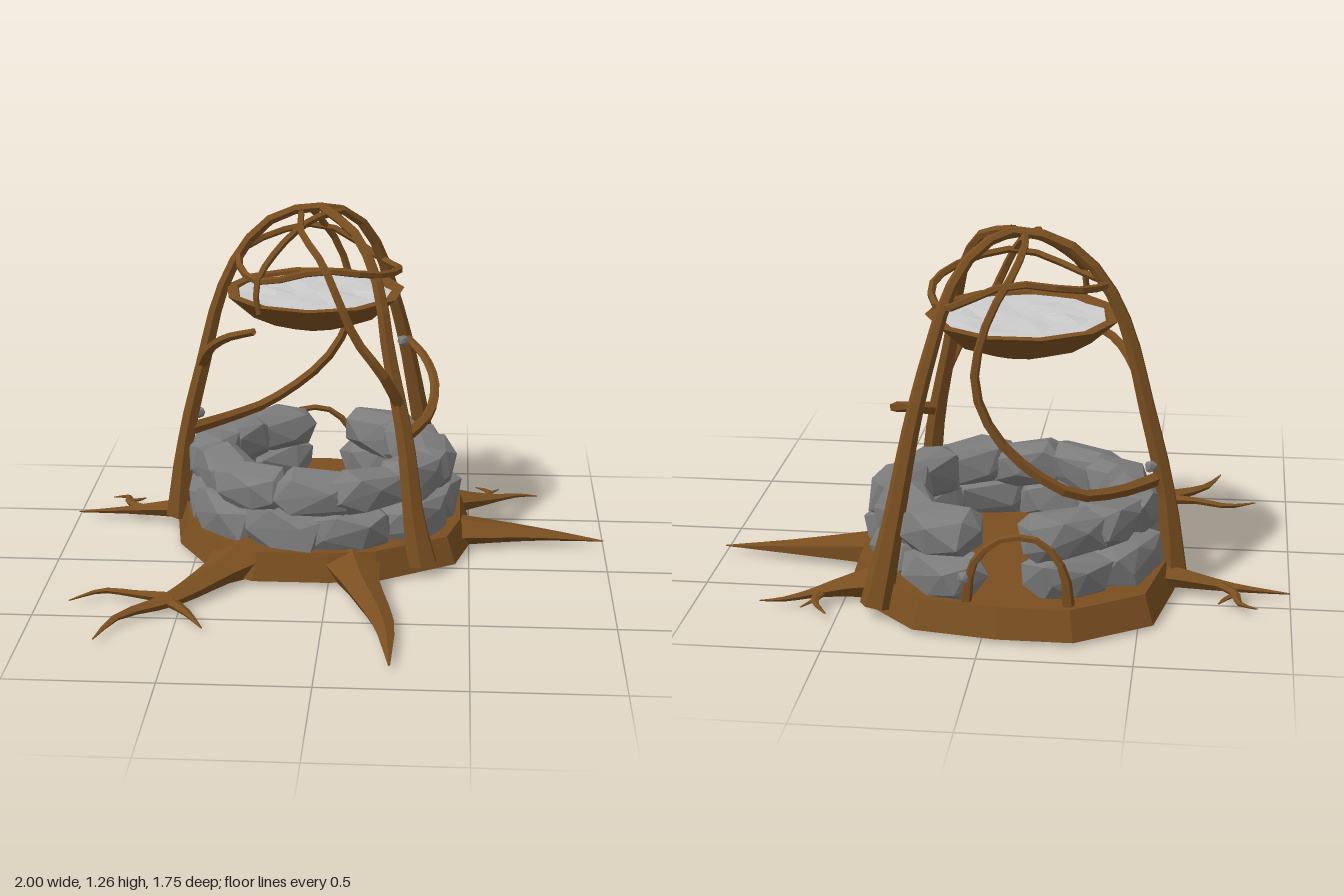
import * as THREE from 'three';
import { ConvexGeometry } from 'three/addons/geometries/ConvexGeometry.js';

const mat = (color) => new THREE.MeshStandardMaterial({ color, flatShading: true, side: THREE.DoubleSide });
const wood = mat(0x7a4f20), stone = mat(0x7c7c7c), water = mat(0xcccccc);
const CX = -0.055, CZ = -0.335;

let seed = 7;
const rand = () => (seed = (seed * 16807) % 2147483647) / 2147483647;

function add(parent, name, geometry, material) {
  const mesh = new THREE.Mesh(geometry, material);
  mesh.name = name;
  parent.add(mesh);
  return mesh;
}

// Tapered branch through points [x, y, z, radius]; squash flattens it in y
function limb(parent, name, pts, { sides = 6, seg = pts.length * 2, squash = 1, closed = false } = {}) {
  const curve = new THREE.CatmullRomCurve3(pts.map((p) => new THREE.Vector3(p[0], p[1], p[2])), closed);
  const n = closed ? pts.length : pts.length - 1;
  const g = new THREE.TubeGeometry(curve, seg, 1, sides, closed);
  const pos = g.attributes.position, v = new THREE.Vector3();
  for (let i = 0; i <= seg; i++) {
    const u = i / seg, c = curve.getPointAt(u);
    const t = curve.getUtoTmapping(u) * n, k = Math.min(Math.floor(t), n - 1);
    const r = THREE.MathUtils.lerp(pts[k][3], pts[(k + 1) % pts.length][3], t - k);
    for (let j = 0; j <= sides; j++) {
      const id = i * (sides + 1) + j;
      v.fromBufferAttribute(pos, id).sub(c).multiplyScalar(r);
      v.y *= squash;
      v.add(c);
      pos.setXYZ(id, v.x, Math.max(v.y, 0.003), v.z);
    }
  }
  g.computeVertexNormals();
  return add(parent, name, g, wood);
}

// Rough boulder: hull of jittered points on a boxy ellipsoid
function boulder(parent, name, x, y, z, a, sx, sy, sz) {
  const pts = [];
  for (let i = 0; i < 20; i++) {
    const h = 1 - (2 * (i + 0.5)) / 20, q = i * 2.4 + rand() * 0.5, w = Math.sqrt(1 - h * h);
    const d = [Math.cos(q) * w, h, Math.sin(q) * w].map((c) => Math.sign(c) * Math.abs(c) ** 0.65);
    const s = 0.85 + rand() * 0.17;
    pts.push(new THREE.Vector3(d[0] * sx * s, d[1] * sy * s, d[2] * sz * s));
  }
  const m = add(parent, name, new ConvexGeometry(pts), stone);
  m.position.set(x, y, z);
  m.rotation.set(0, a, (rand() - 0.5) * 0.25);
}

export function createModel() {
  const model = new THREE.Group();

  // Trunk slab, narrower at the top
  const outline = [[-0.3, -0.875], [-0.05, -0.875], [0.23, -0.83], [0.42, -0.64], [0.5, -0.48], [0.5, -0.2], [0.45, -0.01],
    [0.18, 0.16], [0, 0.19], [-0.27, 0.19], [-0.42, 0.1], [-0.57, -0.15], [-0.61, -0.4], [-0.55, -0.71]];
  const slab = new THREE.ExtrudeGeometry(new THREE.Shape(outline.map(([x, z]) => new THREE.Vector2(x, -z))),
    { depth: 0.1, bevelEnabled: false });
  slab.rotateX(-Math.PI / 2).translate(0, 0.015, 0);
  const p = slab.attributes.position;
  for (let i = 0; i < p.count; i++) {
    if (p.getY(i) < 0.05) continue;
    p.setX(i, CX + (p.getX(i) - CX) * 0.94);
    p.setZ(i, CZ + (p.getZ(i) - CZ) * 0.94);
  }
  slab.computeVertexNormals();
  add(model, 'trunkBase', slab, wood);

  // Roots spreading over the ground
  const roots = new THREE.Group();
  roots.name = 'roots';
  model.add(roots);
  const root = (...pts) => limb(roots, 'root', pts, { sides: 5, squash: 0.6 });
  root([0.36, 0.06, -0.25, 0.11], [0.5, 0.055, -0.25, 0.085], [0.75, 0.045, -0.25, 0.04], [1, 0.03, -0.23, 0.003]);
  root([0.07, 0.06, 0.08, 0.12], [0.12, 0.05, 0.28, 0.07], [0.21, 0.035, 0.58, 0.04], [0.24, 0.025, 0.87, 0.004]);
  root([-0.3, 0.06, 0.05, 0.13], [-0.39, 0.05, 0.2, 0.07], [-0.53, 0.035, 0.41, 0.04], [-0.69, 0.03, 0.55, 0.018], [-0.75, 0.02, 0.72, 0.003]);
  root([-0.52, 0.035, 0.4, 0.035], [-0.66, 0.04, 0.38, 0.02], [-0.78, 0.035, 0.35, 0.015], [-0.885, 0.025, 0.42, 0.003]);
  root([-0.55, 0.035, 0.41, 0.03], [-0.47, 0.03, 0.5, 0.018], [-0.4, 0.02, 0.61, 0.003]);
  root([-0.5, 0.07, -0.38, 0.09], [-0.62, 0.06, -0.4, 0.055], [-0.8, 0.04, -0.42, 0.025], [-1, 0.025, -0.425, 0.004]);
  root([-0.73, 0.05, -0.41, 0.02], [-0.81, 0.045, -0.48, 0.018], [-0.83, 0.04, -0.56, 0.012], [-0.89, 0.03, -0.575, 0.003]);
  root([-0.81, 0.045, -0.5, 0.012], [-0.78, 0.04, -0.53, 0.009], [-0.76, 0.035, -0.56, 0.003]);
  root([0.38, 0.06, -0.54, 0.1], [0.5, 0.05, -0.58, 0.055], [0.6, 0.04, -0.63, 0.025], [0.69, 0.035, -0.68, 0.013], [0.77, 0.03, -0.69, 0.003]);
  root([0.57, 0.04, -0.61, 0.022], [0.58, 0.04, -0.7, 0.014], [0.53, 0.03, -0.77, 0.003]);
  root([0.58, 0.04, -0.68, 0.012], [0.62, 0.035, -0.74, 0.003]);

  // Two courses of boulders, open at the back
  const wall = new THREE.Group();
  wall.name = 'stoneRing';
  model.add(wall);
  for (let layer = 0; layer < 2; layer++) {
    const n = 10 + layer;
    for (let i = 0; i < n; i++) {
      const a = 0.47 + ((Math.PI * 2 - 0.94) * (i + (layer ? 0.1 : 0) + rand() * 0.12)) / (n - 0.8);
      const r = (layer ? 0.385 : 0.4) + (rand() - 0.5) * 0.03;
      boulder(wall, 'boulder', CX + Math.sin(a) * r * 1.04, layer ? 0.3 : 0.17, CZ - Math.cos(a) * r,
        -a, 0.15 + rand() * 0.02, 0.085 + rand() * 0.015, 0.1 + rand() * 0.01);
    }
  }

  // Three legs meeting over the bowl
  limb(model, 'rightLeg', [[-0.6, 0.05, -0.36, 0.055], [-0.57, 0.35, -0.36, 0.034], [-0.5, 0.65, -0.36, 0.03], [-0.42, 0.95, -0.36, 0.025],
    [-0.32, 1.13, -0.37, 0.021], [-0.2, 1.225, -0.38, 0.019], [-0.05, 1.25, -0.38, 0.017]]);
  limb(model, 'frontLeg', [[0.33, 0.04, 0.05, 0.06], [0.3, 0.2, 0.03, 0.042], [0.265, 0.48, -0.01, 0.034], [0.2, 0.8, -0.06, 0.027],
    [0.16, 1.03, -0.1, 0.022], [0.08, 1.185, -0.2, 0.019], [-0.05, 1.25, -0.36, 0.017]]);
  limb(model, 'backLeg', [[0.37, 0.04, -0.71, 0.055], [0.32, 0.3, -0.66, 0.037], [0.25, 0.68, -0.6, 0.028], [0.19, 0.92, -0.55, 0.024],
    [0.14, 1.08, -0.51, 0.021], [0.05, 1.21, -0.45, 0.019], [-0.06, 1.25, -0.37, 0.017]]);

  // Vines winding between the legs
  const vines = new THREE.Group();
  vines.name = 'vines';
  model.add(vines);
  const vine = (...pts) => limb(vines, 'vine', pts, { sides: 5 });
  vine([-0.55, 0.4, -0.35, 0.026], [-0.42, 0.4, -0.5, 0.022], [-0.27, 0.43, -0.62, 0.02], [-0.05, 0.6, -0.66, 0.018], [0.04, 0.8, -0.67, 0.016],
    [0, 1.02, -0.66, 0.014], [-0.07, 1.15, -0.6, 0.014], [-0.1, 1.22, -0.48, 0.013], [-0.09, 1.24, -0.38, 0.013]);
  vine([0.26, 0.5, -0.01, 0.026], [0.34, 0.54, -0.12, 0.02], [0.365, 0.6, -0.3, 0.018], [0.32, 0.66, -0.48, 0.017], [0.24, 0.71, -0.6, 0.015]);
  vine([-0.5, 0.65, -0.36, 0.022], [-0.46, 0.74, -0.25, 0.019], [-0.38, 0.82, -0.14, 0.016], [-0.28, 0.86, -0.08, 0.014]);
  vine([0.24, 0.62, -0.02, 0.022], [0.18, 0.75, 0.04, 0.019], [0.09, 0.87, 0.04, 0.017], [0.03, 1, 0.025, 0.015],
    [-0.03, 1.12, -0.03, 0.014], [-0.11, 1.2, -0.15, 0.013], [-0.13, 1.23, -0.36, 0.012]);
  vine([0.02, 1.23, -0.41, 0.014], [-0.09, 1.22, -0.29, 0.014], [-0.2, 1.14, -0.17, 0.014], [-0.27, 1.03, -0.07, 0.012], [-0.26, 0.93, -0.06, 0.01]);
  limb(vines, 'vineHoop', [[-0.36, 1.07, -0.36, 0.015], [-0.26, 1.04, -0.09, 0.013], [-0.03, 1.1, -0.02, 0.013], [0.15, 1.07, -0.09, 0.014],
    [0.23, 1.04, -0.3, 0.014], [0.16, 1.02, -0.53, 0.014], [-0.07, 1.13, -0.62, 0.013], [-0.27, 1.1, -0.55, 0.013]],
  { sides: 5, seg: 20, closed: true });

  // Small twig arch at the opening
  vine([-0.28, 0.08, -0.8, 0.024], [-0.26, 0.24, -0.81, 0.015], [-0.18, 0.33, -0.8, 0.012], [-0.06, 0.335, -0.81, 0.012],
    [0.03, 0.25, -0.81, 0.014], [0.06, 0.08, -0.8, 0.022]);

  // Pebbles caught on the branches
  for (const [x, y, z] of [[0.24, 0.7, -0.55], [-0.52, 0.45, -0.39], [0.06, 0.2, -0.81]])
    boulder(model, 'pebble', x, y, z, 0.5, 0.022, 0.02, 0.02);

  // Faceted bowl and rippled water
  const profile = [[0, 0.82], [0.12, 0.83], [0.235, 0.87], [0.33, 0.955], [0.29, 0.955], [0.28, 0.93]];
  add(model, 'bowl', new THREE.LatheGeometry(profile.map(([x, y]) => new THREE.Vector2(x, y)), 11), wood)
    .position.set(-0.08, 0, -0.325);
  const surface = new THREE.RingGeometry(0.001, 0.292, 16, 4).rotateX(-Math.PI / 2);
  const s = surface.attributes.position;
  for (let i = 0; i < s.count; i++) s.setY(i, Math.sin(s.getX(i) * 31) * Math.cos(s.getZ(i) * 27) * 0.006);
  surface.computeVertexNormals();
  add(model, 'water', surface, water).position.set(-0.08, 0.943, -0.325);

  return model;
}
